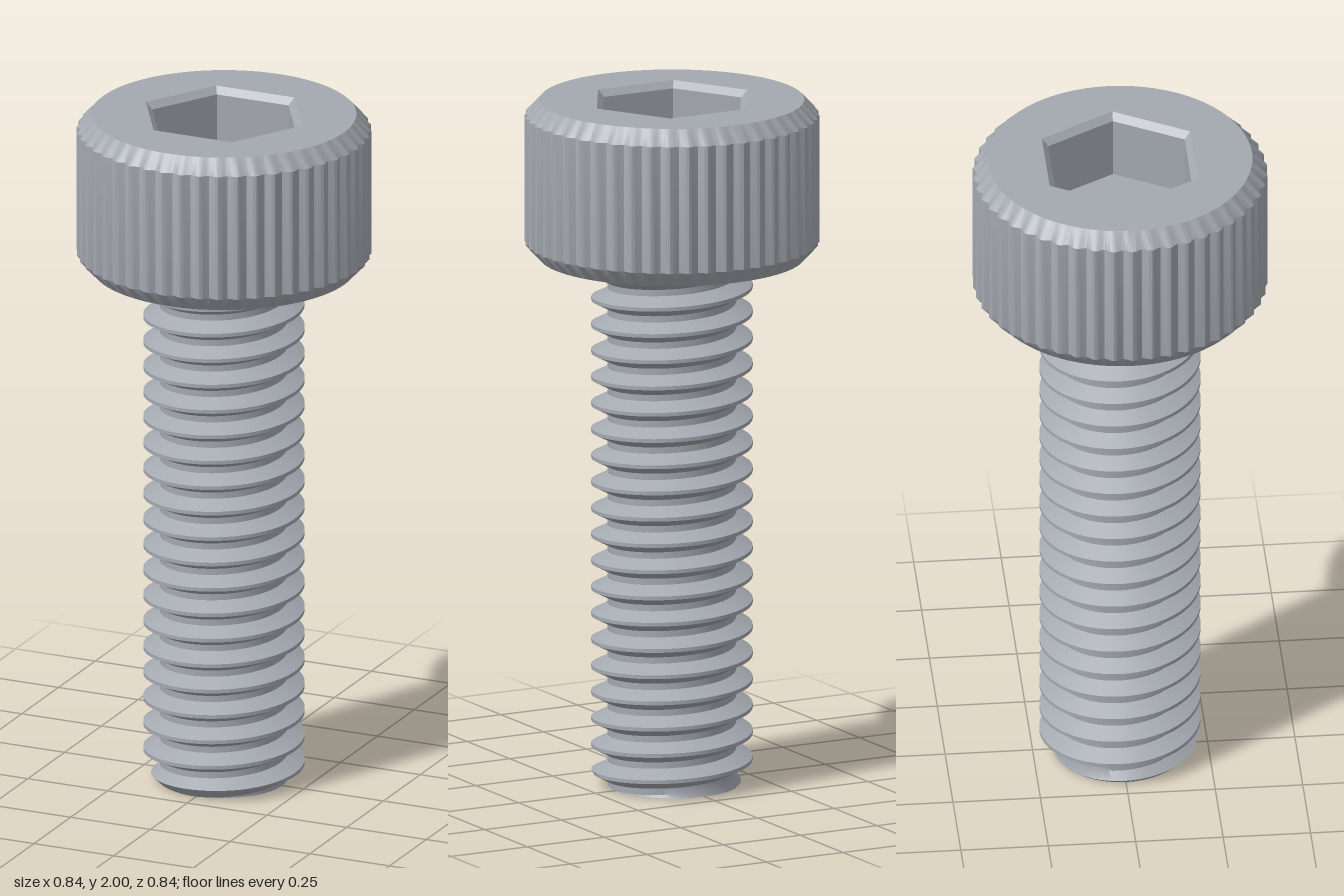
import * as THREE from 'three';
import { toCreasedNormals } from 'three/addons/utils/BufferGeometryUtils.js';

const TOP = 2, HEAD_BASE = 1.54, FACE_R = 0.377, HEAD_R = 0.42;
const PITCH = 0.0767, CREST_R = 0.23, ROOT_R = 0.183;
const HEX_MOUTH = 0.245, HEX_R = 0.225;

// Lathe whose vertices are moved by rule(point, phi, row) -> [radius, y]
function shapedLathe(points, segments, rule, crease) {
  const geo = new THREE.LatheGeometry(points, segments);
  const pos = geo.attributes.position;
  for (let k = 0; k < pos.count; k++) {
    const row = k % points.length;
    const step = Math.floor(k / points.length);
    const phi = (step / segments) * Math.PI * 2;
    const [r, y] = rule(points[row], phi, row);
    const a = ((step % segments) / segments) * Math.PI * 2;
    pos.setXYZ(k, r * Math.sin(a), y, r * Math.cos(a));
  }
  geo.deleteAttribute('normal');
  return toCreasedNormals(geo, crease);
}

// Thread radius at a distance from the middle of a crest
function threadRadius(d) {
  const u = Math.abs(d / PITCH - Math.round(d / PITCH));
  const t = THREE.MathUtils.clamp((u - 0.07) / 0.31, 0, 1);
  return THREE.MathUtils.lerp(CREST_R, ROOT_R, t);
}

export function createModel() {
  const group = new THREE.Group();
  const steel = new THREE.MeshStandardMaterial({ color: 0xa4a9b0 });
  steel.name = 'steel grey';
  const add = (name, geo) => {
    const mesh = new THREE.Mesh(geo, steel);
    mesh.name = name;
    group.add(mesh);
  };

  // Head wall: fluted grip between two plain chamfers
  const headProfile = [
    [0, HEAD_BASE], [FACE_R, HEAD_BASE], [HEAD_R, HEAD_BASE + 0.045],
    [HEAD_R, TOP - 0.045], [FACE_R, TOP],
  ].map(([x, y]) => new THREE.Vector2(x, y));
  add('knurledHead', shapedLathe(headProfile, 288, (p, phi) => {
    const flute = p.x === HEAD_R ? 0.006 * (1 - Math.cos(48 * phi)) : 0;
    return [p.x - flute, p.y];
  }, 0.6));

  // Flat top face with a hexagonal opening
  const face = new THREE.Shape();
  face.absarc(0, 0, FACE_R, 0, Math.PI * 2, false);
  const hex = [];
  for (let i = 0; i < 6; i++) {
    const a = -i * Math.PI / 3;
    hex.push(new THREE.Vector2(HEX_MOUTH * Math.cos(a), HEX_MOUTH * Math.sin(a)));
  }
  face.holes.push(new THREE.Path(hex));
  const faceGeo = new THREE.ShapeGeometry(face, 144);
  faceGeo.rotateX(-Math.PI / 2).translate(0, TOP, 0);
  add('headTop', faceGeo);

  // Socket: bevelled mouth, straight walls and flat floor
  const socketProfile = [
    [HEX_MOUTH, TOP], [HEX_R, TOP - 0.02], [HEX_R, TOP - 0.2], [0, TOP - 0.2],
  ].map(([x, y]) => new THREE.Vector2(x, y));
  const socket = new THREE.LatheGeometry(socketProfile, 6, Math.PI / 2).toNonIndexed();
  socket.computeVertexNormals();
  add('hexSocket', socket);

  // Threaded shank: rows climb one pitch per turn, clipped at both ends
  const rows = [new THREE.Vector2(0, 0)];
  for (let turn = -2; turn <= 21; turn++) {
    for (const u of [-0.38, -0.07, 0.07, 0.38]) {
      rows.push(new THREE.Vector2(CREST_R, (turn + u) * PITCH));
    }
  }
  add('threadedShank', shapedLathe(rows, 96, (p, phi, row) => {
    if (row === 0) return [0, 0];
    const rise = 0.026 + PITCH * phi / (Math.PI * 2);
    const y = THREE.MathUtils.clamp(p.y + rise, 0, HEAD_BASE + 0.01);
    return [Math.min(threadRadius(y - rise), 0.19 + y), y];
  }, 0.6));

  return group;
}
